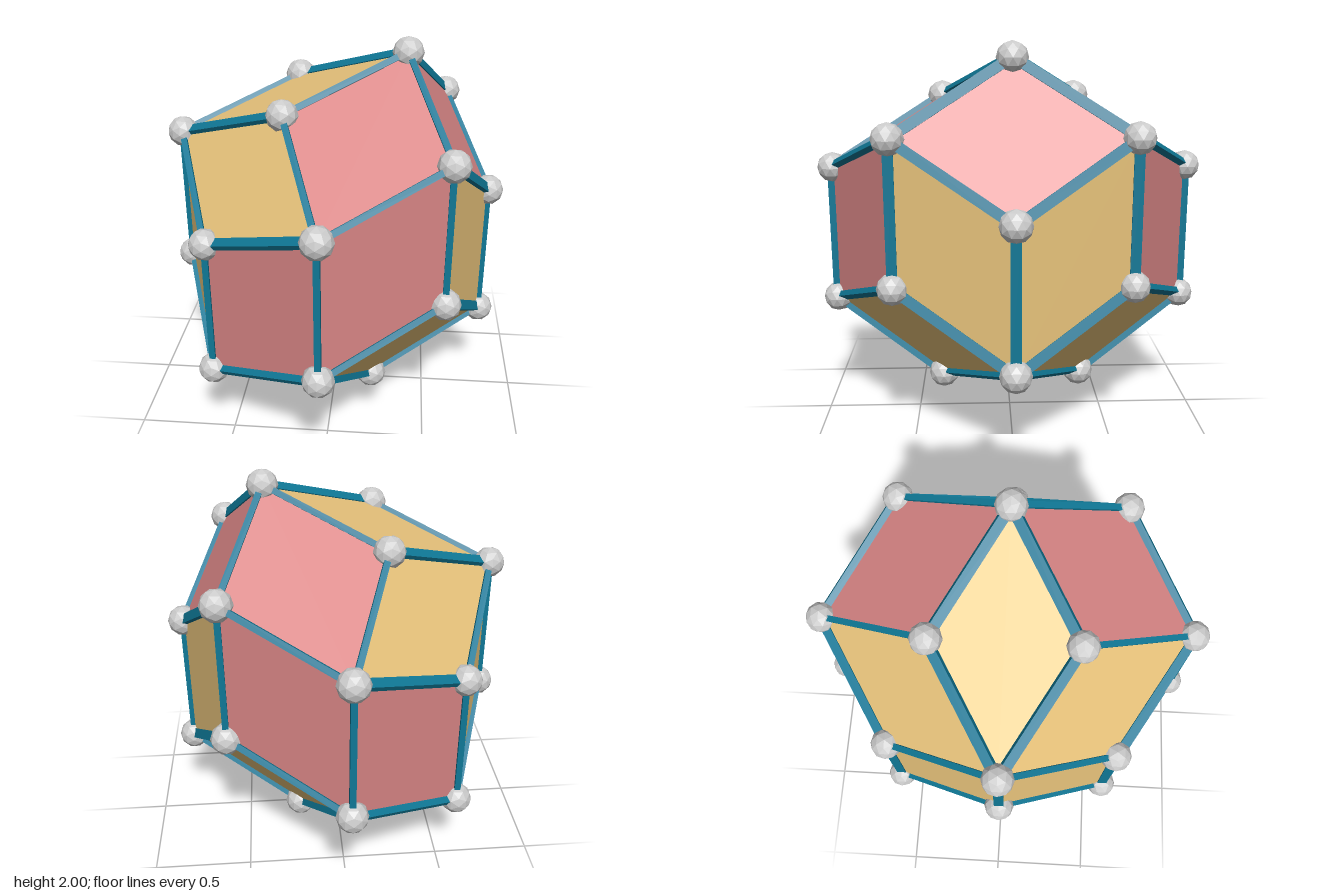
import * as THREE from 'three';

// Convex solid of twenty rhombic panels spanned by five edge directions,
// with struts along its edges and balls at its corners.
const EDGE = 0.704, BALL = 0.078;
const directions = [
  [0, 1, 0],
  [0.809, 0.309, -0.5], [0.809, 0.309, 0.5],
  [-0.309, 0.5, -0.809], [-0.309, 0.5, 0.809],
].map(d => new THREE.Vector3(...d).normalize());

const material = color => new THREE.MeshStandardMaterial({ color, flatShading: true });

export function createModel() {
  const model = new THREE.Group();
  const panels = new THREE.Group(), struts = new THREE.Group(), joints = new THREE.Group();
  panels.name = 'panels';
  struts.name = 'struts';
  joints.name = 'cornerBalls';
  model.add(panels, struts, joints);

  const wide = material(0xd98686), narrow = material(0xe9c47c);
  const teal = material(0x0f7896), grey = material(0xcccccc);
  const ballGeometry = new THREE.IcosahedronGeometry(BALL, 1);
  const strutGeometry = new THREE.BoxGeometry(0.03, EDGE, 0.05);
  const up = new THREE.Vector3(0, 1, 0);
  const used = new Set();

  function place(parent, name, geometry, mat, position) {
    const key = name + position.toArray().map(v => Math.round(v * 100)).join();
    if (used.has(key)) return null;
    used.add(key);
    const mesh = new THREE.Mesh(geometry, mat);
    mesh.name = name;
    mesh.position.copy(position);
    parent.add(mesh);
    return mesh;
  }

  function addStrut(start, direction) {
    const middle = start.clone().addScaledVector(direction, EDGE / 2);
    const strut = place(struts, 'strut', strutGeometry, teal, middle);
    if (strut) strut.quaternion.setFromUnitVectors(up, direction);
  }

  function addPanel(a, b, side) {
    // The panel centre lies furthest out along the panel's normal
    const normal = a.clone().cross(b).multiplyScalar(side);
    const corner = new THREE.Vector3(0, 1, 0);
    for (const d of directions) {
      const sign = d === a || d === b ? -1 : Math.sign(d.dot(normal));
      corner.addScaledVector(d, sign * EDGE / 2);
    }
    const cornerA = corner.clone().addScaledVector(a, EDGE);
    const cornerB = corner.clone().addScaledVector(b, EDGE);
    const far = cornerA.clone().addScaledVector(b, EDGE);
    const corners = [corner, cornerA, far, cornerB];

    const geometry = new THREE.BufferGeometry().setFromPoints(corners);
    geometry.setIndex(side > 0 ? [0, 1, 2, 0, 2, 3] : [0, 2, 1, 0, 3, 2]);
    geometry.computeVertexNormals();
    const isNarrow = Math.abs(a.dot(b)) > 0.4;
    const panel = new THREE.Mesh(geometry, isNarrow ? narrow : wide);
    panel.name = isNarrow ? 'narrowPanel' : 'widePanel';
    panels.add(panel);

    addStrut(corner, a);
    addStrut(corner, b);
    addStrut(cornerA, b);
    addStrut(cornerB, a);
    for (const c of corners) place(joints, 'cornerBall', ballGeometry, grey, c);
  }

  // Every pair of directions makes two opposite panels
  for (let i = 0; i < 5; i++)
    for (let j = i + 1; j < 5; j++)
      for (const side of [1, -1]) addPanel(directions[i], directions[j], side);

  return model;
}
